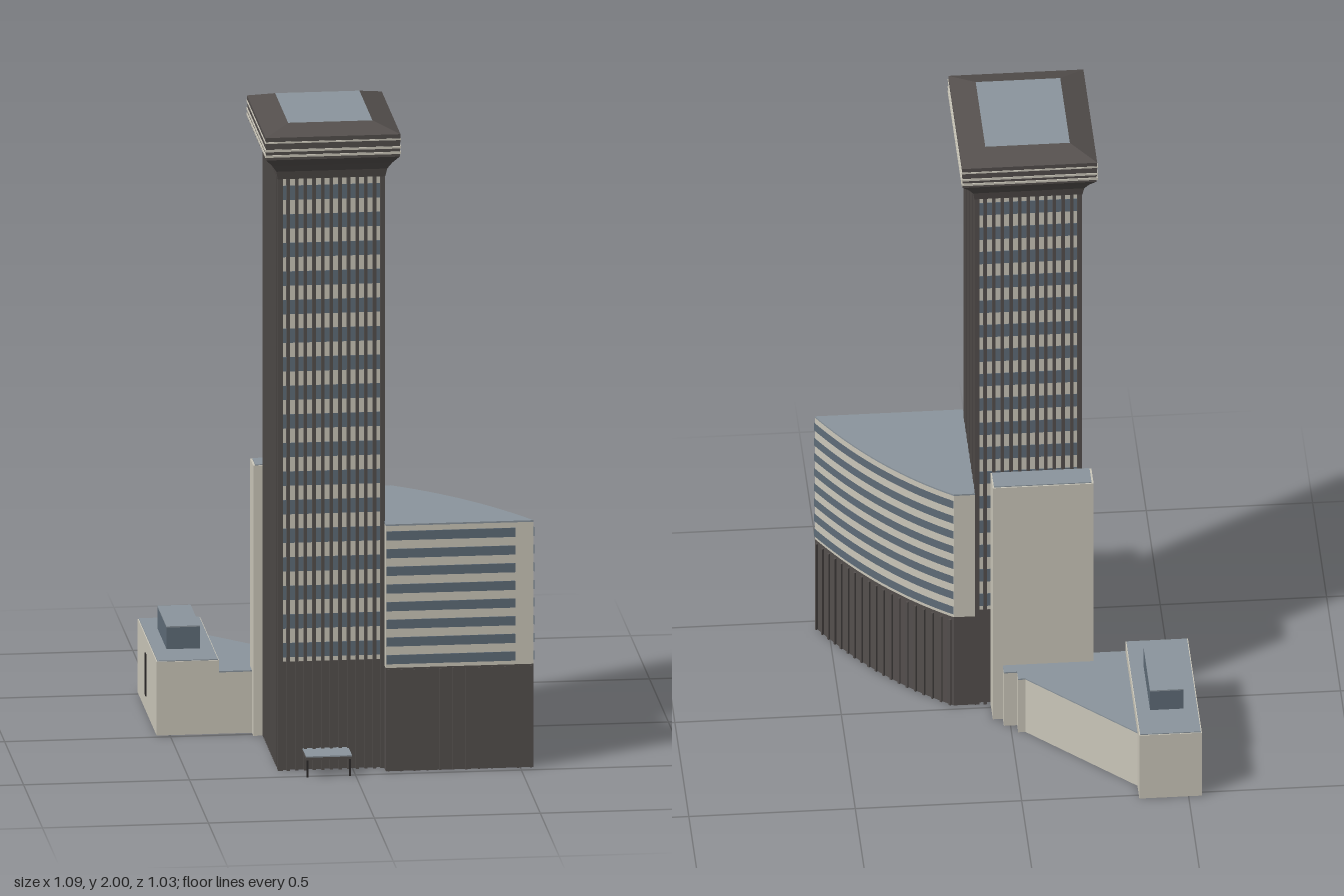
import * as THREE from 'three';

const material = (name, color, side = THREE.FrontSide) => {
  const m = new THREE.MeshStandardMaterial({ color, side });
  m.name = name;
  return m;
};

export function createModel() {
  const model = new THREE.Group();
  model.name = 'officeTower';
  const dark = material('darkBronze', 0x544f4d);
  const cream = material('creamConcrete', 0xcbc7ba);
  const glass = material('blueGlass', 0x5f6c78);
  const glassStrip = material('blueGlassStrip', 0x5f6c78, THREE.DoubleSide);
  const roof = material('roofGrey', 0x8b959d);
  const black = material('nearBlack', 0x2c2a2a);

  const group = (name) => {
    const g = new THREE.Group();
    g.name = name;
    model.add(g);
    return g;
  };
  const add = (parent, name, geometry, mat) => {
    const mesh = new THREE.Mesh(geometry, mat);
    mesh.name = name;
    parent.add(mesh);
    return mesh;
  };
  // box given by its extents
  const box = (parent, name, mat, x0, x1, y0, y1, z0, z1) => {
    const mesh = add(parent, name, new THREE.BoxGeometry(x1 - x0, y1 - y0, z1 - z0), mat);
    mesh.position.set((x0 + x1) / 2, (y0 + y1) / 2, (z0 + z1) / 2);
    return mesh;
  };
  // prism over a footprint of [x, z] points
  const prism = (parent, name, mat, points, y0, y1) => {
    const shape = new THREE.Shape(points.map(([x, z]) => new THREE.Vector2(x, -z)));
    const g = new THREE.ExtrudeGeometry(shape, { depth: y1 - y0, bevelEnabled: false });
    g.rotateX(-Math.PI / 2);
    g.translate(0, y0, 0);
    return add(parent, name, g, mat);
  };

  // Tower shaft: cream core, glass storeys, projecting fins
  const X0 = -0.225, X1 = 0.097, Z0 = 0.018, Z1 = 0.43, IN = 0.014;
  const tower = group('tower');
  box(tower, 'towerBase', dark, X0 + IN - 0.002, X1 - IN + 0.002, 0, 0.335, Z0 + IN - 0.002, Z1 - IN + 0.002);
  box(tower, 'towerCore', cream, X0 + IN, X1 - IN, 0.335, 1.85, Z0 + IN, Z1 - IN);
  const pitch = 0.0886, e = IN - 0.002;
  for (let i = 0; i < 17; i++) {
    const y = 0.349 + i * pitch;
    box(tower, 'windowBand', glass, X0 + e, X1 - e, y, y + 0.044, Z0 + e, Z1 - e);
  }
  const finW = 0.0095;
  const spread = (n, a, b, fn) => {
    for (let i = 0; i <= n; i++) fn(a + ((b - a - finW) * i) / n);
  };
  spread(12, X0, X1, (x) => {
    box(tower, 'fin', dark, x, x + finW, 0, 1.85, Z0, Z0 + IN);
    box(tower, 'fin', dark, x, x + finW, 0, 1.85, Z1 - IN, Z1);
  });
  spread(15, Z0, Z1, (z) => {
    box(tower, 'fin', dark, X0, X0 + IN, 0, 1.85, z, z + finW);
    box(tower, 'fin', dark, X1 - IN, X1, 0, 1.85, z, z + finW);
  });

  // Crown: rectangular rings [outward offset, height] joined by flat faces
  const crown = group('crown');
  const rings = [[-0.014, 1.835], [0.001, 1.835], [0.006, 1.86], [0.02, 1.882], [0.04, 1.905], [0.042, 1.975], [-0.034, 2]];
  const corner = ([o, y], k) => {
    const east = k % 4 < 2, south = k % 4 === 0 || k % 4 === 3;
    return [east ? X1 + o : X0 - o, y, south ? Z1 + o : Z0 - o];
  };
  const verts = [];
  for (let i = 0; i < rings.length - 1; i++) {
    for (let k = 0; k < 4; k++) {
      const a = corner(rings[i], k), b = corner(rings[i], k + 1);
      const c = corner(rings[i + 1], k + 1), d = corner(rings[i + 1], k);
      verts.push(...a, ...b, ...c, ...a, ...c, ...d);
    }
  }
  const crownGeo = new THREE.BufferGeometry();
  crownGeo.setAttribute('position', new THREE.Float32BufferAttribute(verts, 3));
  crownGeo.computeVertexNormals();
  add(crown, 'crownBody', crownGeo, dark);
  for (const [y0, y1] of [[1.914, 1.921], [1.931, 1.938], [1.957, 1.962]]) {
    box(crown, 'crownStripe', cream, X0 - 0.0435, X1 + 0.0435, y0, y1, Z0 - 0.0435, Z1 + 0.0435);
  }
  box(crown, 'crownRoof', roof, X0 + 0.034, X1 - 0.034, 1.992, 2, Z0 + 0.034, Z1 - 0.034);

  // Curved wing: straight front, bowed outer wall
  const wing = group('curvedWing');
  const curve = new THREE.QuadraticBezierCurve(
    new THREE.Vector2(0.16, 0.02), new THREE.Vector2(0.38, 0.179), new THREE.Vector2(0.54, 0.468));
  const bow = curve.getSpacedPoints(24);
  const outline = [[0.095, 0.468], [0.095, 0.02], ...bow.map((p) => [p.x, p.y])];
  prism(wing, 'wingBase', dark, outline, 0, 0.32);
  prism(wing, 'wingWalls', cream, outline, 0.32, 0.76);
  prism(wing, 'wingRoof', roof, outline, 0.76, 0.765);
  const outward = (t) => {
    const d = curve.getTangentAt(t);
    return new THREE.Vector2(d.y, -d.x);
  };
  const ribbon = (y0, y1) => {
    const pos = [], index = [];
    bow.forEach((p, i) => {
      const n = outward(i / 24);
      const x = p.x + n.x * 0.003, z = p.y + n.y * 0.003;
      pos.push(x, y0, z, x, y1, z);
      if (i) index.push(2 * i - 2, 2 * i - 1, 2 * i, 2 * i, 2 * i - 1, 2 * i + 1);
    });
    const g = new THREE.BufferGeometry();
    g.setAttribute('position', new THREE.Float32BufferAttribute(pos, 3));
    g.setIndex(index);
    g.computeVertexNormals();
    return g;
  };
  for (let i = 0; i < 8; i++) {
    const y = 0.332 + i * 0.0548;
    box(wing, 'frontWindowStrip', glass, 0.097, 0.485, y, y + 0.028, 0.466, 0.471);
    add(wing, 'curvedWindowStrip', ribbon(y, y + 0.028), glassStrip);
  }
  // slim ribs on the wing base
  for (let i = 0; i <= 18; i++) {
    const t = 0.02 + (0.96 * i) / 18, p = curve.getPointAt(t), n = outward(t);
    const rib = add(wing, 'baseRib', new THREE.BoxGeometry(0.007, 0.31, 0.012), dark);
    rib.position.set(p.x, 0.155, p.y);
    rib.rotation.y = Math.atan2(n.x, n.y);
  }
  for (let i = 0; i < 12; i++) {
    const x = 0.1 + i * 0.039;
    box(wing, 'baseRib', dark, x, x + 0.006, 0, 0.315, 0.465, 0.473);
  }

  // Service slab behind the tower
  const slab = group('serviceSlab');
  box(slab, 'slabWalls', cream, -0.253, 0.05, 0, 0.838, -0.063, 0.018);
  box(slab, 'slabRoof', roof, -0.247, 0.046, 0.834, 0.841, -0.059, 0.016);

  // Low annex with penthouse
  const annex = group('annex');
  box(annex, 'annexWalls', cream, -0.54, -0.352, 0, 0.228, -0.518, 0.017 - 0.035);
  box(annex, 'annexRoof', roof, -0.537, -0.355, 0.224, 0.231, -0.515, -0.021);
  box(annex, 'penthouse', glass, -0.495, -0.395, 0.225, 0.298, -0.39, -0.15);
  box(annex, 'penthouseRoof', roof, -0.495, -0.395, 0.298, 0.302, -0.39, -0.15);
  box(annex, 'annexDoor', black, -0.543, -0.538, 0.05, 0.18, -0.31, -0.285);

  // Wedge-shaped link with stepped end
  const link = group('linkBuilding');
  const wedge = [[-0.352, -0.018], [-0.352, -0.45], [-0.042, -0.138], [-0.02, -0.138],
    [-0.02, -0.1], [0.02, -0.1], [0.02, -0.062], [-0.25, -0.062], [-0.25, -0.018]];
  prism(link, 'linkWalls', cream, wedge, 0, 0.19);
  prism(link, 'linkRoof', roof, wedge, 0.19, 0.194);

  // Entrance canopy
  const canopy = group('entranceCanopy');
  box(canopy, 'canopyEdge', dark, -0.15, -0.012, 0.054, 0.062, 0.42, 0.515);
  box(canopy, 'canopyTop', roof, -0.15, -0.012, 0.062, 0.066, 0.42, 0.515);
  for (const x of [-0.148, -0.02]) box(canopy, 'canopyPost', black, x, x + 0.006, 0, 0.054, 0.505, 0.511);

  return model;
}
